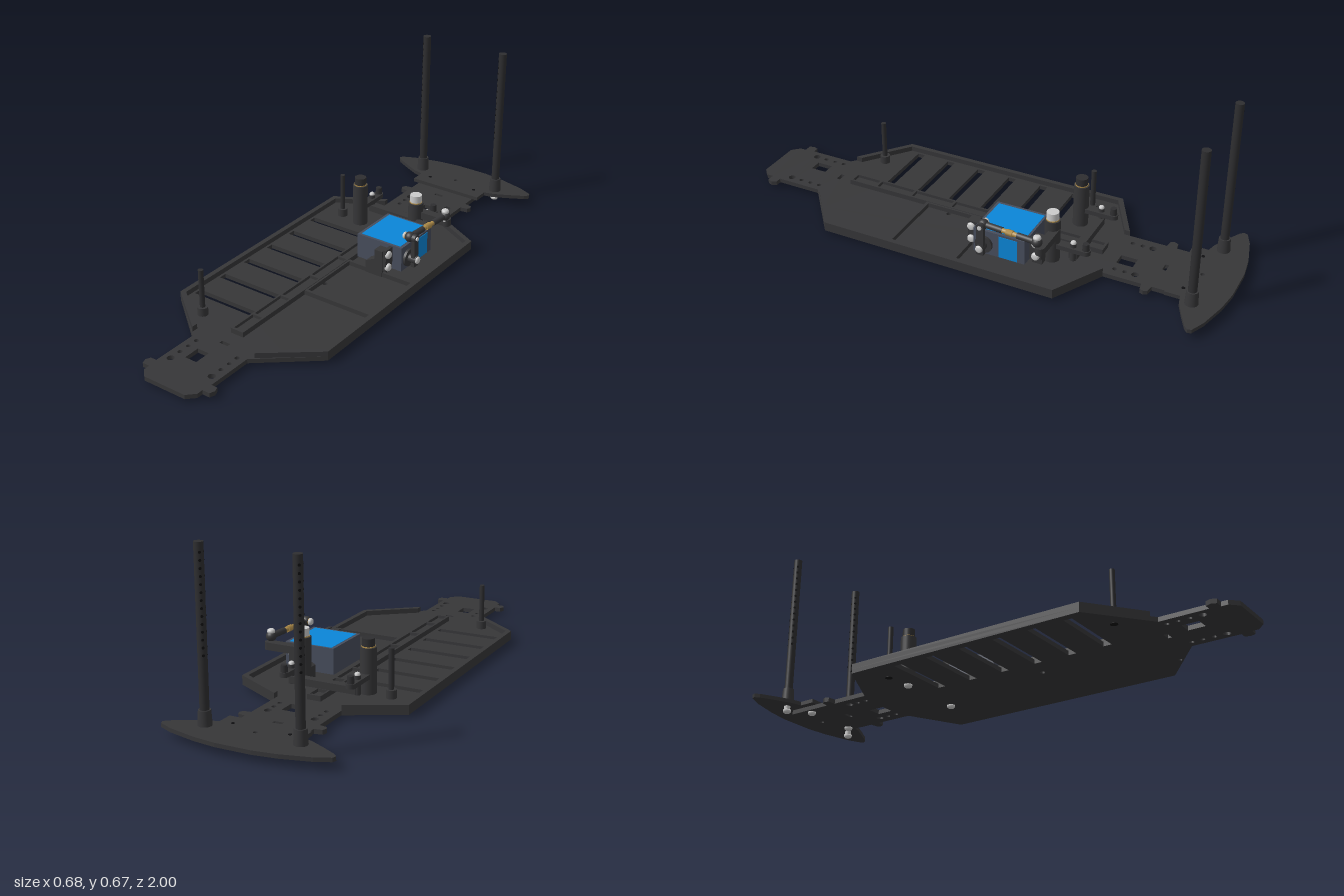
import * as THREE from 'three';

const mat = (color) => new THREE.MeshStandardMaterial({ color });
const DARK = mat(0x363638), POLE = mat(0x2e2e30), HOLE = mat(0x101012), STEEL = mat(0xc4c4c0);
const SLATE = mat(0x474d5c), BLUE = mat(0x0a86d8), BRASS = mat(0xb08d4a);
const V = (x, y, z) => new THREE.Vector3(x, y, z);
const UP = V(0, 1, 0), DOWN = V(0, -1, 0), OUT = V(1, 0, 0);

export function createModel() {
  const root = new THREE.Group();
  root.name = 'chassis';

  const add = (name, geo, material = DARK) => {
    const m = new THREE.Mesh(geo, material);
    m.name = name;
    root.add(m);
    return m;
  };
  // Box given by its min / max on each axis
  const box = (name, x0, x1, y0, y1, z0, z1, material) =>
    add(name, new THREE.BoxGeometry(x1 - x0, y1 - y0, z1 - z0), material)
      .position.set((x0 + x1) / 2, (y0 + y1) / 2, (z0 + z1) / 2);
  // Cylinder between two points
  const rod = (name, a, b, r, material = DARK, r2 = r, sides = 20) => {
    const d = b.clone().sub(a);
    const m = add(name, new THREE.CylinderGeometry(r2, r, d.length(), sides), material);
    m.position.copy(a).add(b).multiplyScalar(0.5);
    m.quaternion.setFromUnitVectors(UP, d.normalize());
  };
  const post = (name, x, z, y0, y1, r, material, r2) => rod(name, V(x, y0, z), V(x, y1, z), r, material, r2);
  const ball = (name, x, y, z, r, material = DARK) =>
    add(name, new THREE.SphereGeometry(r, 20, 14), material).position.set(x, y, z);
  // Domed screw head rising from its base along a direction
  const screwHead = (name, base, dir, r, h, material = STEEL) => {
    const profile = [[0, 0], [r, 0], [r, 0.4 * h], [0.88 * r, 0.78 * h], [0.6 * r, h], [0, h]];
    const m = add(name, new THREE.LatheGeometry(profile.map((p) => new THREE.Vector2(...p)), 20), material);
    m.position.copy(base);
    m.quaternion.setFromUnitVectors(UP, dir);
  };
  // Flat plate from an [x, z] outline with holes
  const plate = (name, pts, y0, y1, holes = []) => {
    const shape = new THREE.Shape(pts.map(([x, z]) => new THREE.Vector2(x, z)));
    shape.holes = holes;
    const g = new THREE.ExtrudeGeometry(shape, { depth: y1 - y0, bevelEnabled: false, curveSegments: 12 });
    g.rotateX(Math.PI / 2).translate(0, y1, 0);
    add(name, g);
  };
  const rectHole = (x0, x1, z0, z1) => new THREE.Path([[x0, z0], [x0, z1], [x1, z1], [x1, z0]].map((p) => new THREE.Vector2(...p)));
  const roundHole = (x, z, r) => new THREE.Path().absarc(x, z, r, 0, Math.PI * 2, true);
  // Full counter-clockwise outline from its front-to-back half
  const mirrored = (half) => [...half.map(([x, z]) => [-x, z]), ...half.slice().reverse()];

  // Main floor: nose, flared tub and rear neck with their cut-outs
  const floorHalf = [[0.09, 1], [0.12, 0.97], [0.12, 0.945], [0.15, 0.945], [0.158, 0.925], [0.15, 0.905],
    [0.125, 0.905], [0.125, 0.72], [0.34, 0.545], [0.34, -0.42], [0.135, -0.53], [0.135, -0.68],
    [0.165, -0.685], [0.172, -0.7], [0.165, -0.715], [0.135, -0.72], [0.135, -0.9], [0.1, -0.93]];
  const holes = [rectHole(0, 0.053, -0.615, -0.55), rectHole(-0.055, -0.005, 0.77, 0.835),
    rectHole(-0.018, 0.018, -0.732, -0.717), rectHole(-0.018, 0.018, 0.683, 0.698),
    roundHole(0.043, 0.16, 0.01), roundHole(0.215, 0.63, 0.007), roundHole(0, -0.865, 0.008)];
  for (let i = 0; i < 6; i++) {
    const z = -0.23 + i * 0.1425;
    holes.push(rectHole(-0.31, -0.045, z - 0.016, z + 0.016));
  }
  for (const x of [-0.093, 0.093]) {
    for (const [z, r] of [[-0.64, 0.014], [-0.6, 0.009], [-0.56, 0.009], [0.735, 0.009], [0.777, 0.008], [0.82, 0.009], [0.867, 0.014]])
      holes.push(roundHole(x, z, r));
  }
  plate('floorPlate', mirrored(floorHalf), 0.013, 0.03, holes);

  // Raised rim along both sides
  for (const s of [-1, 1]) {
    plate('sideRim', [[0.142, 0.7], [0.34, 0.545], [0.34, -0.42], [0.135, -0.53], [0.135, -0.508],
      [0.32, -0.408], [0.32, 0.535], [0.142, 0.675]].map(([x, z]) => [x * s, z]), 0.03, 0.05);
  }

  // Rear bumper wing
  plate('bumper', mirrored([[0.16, -0.775], [0.16, -0.835], [0.2, -0.845], [0.26, -0.875], [0.315, -0.905],
    [0.33, -0.92], [0.325, -0.935], [0.27, -0.96], [0.16, -0.988], [0.07, -1]]), 0.03, 0.045,
  [roundHole(0, -0.865, 0.008)]);
  for (const x of [-0.11, 0.11]) post('bumperScrewRecess', x, -0.83, 0.04, 0.046, 0.007, HOLE);

  // Centre spine: two rails with cross ribs
  box('spineFloor', -0.028, 0.028, 0.03, 0.038, -0.485, 0.625);
  for (const x of [-0.028, 0.02]) box('spineRail', x, x + 0.008, 0.03, 0.05, -0.485, 0.625);
  for (const z of [-0.485, -0.42, -0.29, -0.16, -0.02, 0.16, 0.34, 0.5, 0.615])
    box('spineRib', -0.028, 0.028, 0.03, 0.05, z, z + 0.01);

  // Ribs around the electronics bays
  for (const z of [-0.02, 0.255]) box('bayRib', 0.028, 0.33, 0.03, 0.048, z, z + 0.012);
  box('bayEdge', 0.028, 0.036, 0.03, 0.048, -0.02, 0.26);

  // Tall perforated body posts at the rear
  for (const x of [-0.183, 0.183]) {
    post('rearPost', x, -0.885, 0.03, 0.668, 0.0165, POLE);
    post('rearPostCollar', x, -0.885, 0.045, 0.1, 0.025, DARK, 0.022);
    for (let i = 0; i < 14; i++) {
      const y = 0.29 + i * 0.0265;
      for (const s of [-1, 1])
        rod('pinHole', V(x, y, -0.885), V(x - 0.0117, y, -0.885 + s * 0.0117), 0.005, HOLE, 0.005, 10);
    }
  }
  // Short body posts
  for (const [x, z] of [[-0.23, -0.335], [-0.19, 0.59]]) {
    post('shortPost', x, z, 0.03, 0.215, 0.01, POLE);
    post('shortPostFlange', x, z, 0.03, 0.062, 0.02);
    post('shortPostScrew', x, z, 0.012, 0.02, 0.014, HOLE);
  }

  // Screw heads under the floor
  for (const [x, z, y] of [[0.183, -0.885, 0.03], [0.11, -0.82, 0.014], [0.135, -0.32, 0.014]]) {
    for (const s of [-1, 1]) {
      screwHead('undersideScrew', V(x * s, 0.014, z), DOWN, 0.016, 0.013);
      post('screwShank', x * s, z, 0.013, y, 0.012, STEEL);
    }
  }

  // Steering cranks: pillars, forward arms and studs
  for (const s of [-1, 1]) {
    const x = 0.134 * s;
    post('crankPillar', x, -0.325, 0.03, 0.203, 0.03);
    post('crankWasher', x, -0.325, 0.2, 0.207, 0.025, BRASS);
    post('crankCap', x, -0.325, 0.207, 0.236, 0.0235, s < 0 ? POLE : STEEL);
    box('crankArm', x - 0.018, x + 0.018, 0.09, 0.108, -0.46, -0.33);
    post('crankArmEnd', x, -0.46, 0.09, 0.108, 0.018);
    post('linkStud', x, -0.41, 0.05, 0.122, 0.012);
    screwHead('linkStudHead', V(x, 0.118, -0.41), UP, 0.011, 0.014);
    post('crankStud', x, -0.46, 0.108, 0.135, 0.014, POLE, 0.012);
  }
  box('dragLink', -0.135, 0.135, 0.053, 0.08, -0.425, -0.392);
  box('driveArm', 0.134, 0.27, 0.138, 0.167, -0.355, -0.32);
  post('driveArmEnd', 0.27, -0.337, 0.138, 0.167, 0.018);

  // Servo with blue labels
  box('servoBody', 0.042, 0.245, 0.05, 0.15, -0.265, -0.055, SLATE);
  box('servoTopLabel', 0.054, 0.233, 0.149, 0.151, -0.257, -0.065, BLUE);
  box('servoSideLabel', 0.24, 0.247, 0.052, 0.142, -0.235, -0.16, BLUE);
  box('servoEars', 0.19, 0.204, 0.055, 0.145, -0.31, -0.01);
  // Sloped mounts with screws at both ends of the servo
  for (const z of [-0.31, -0.045]) {
    const side = new THREE.Shape([[0.115, 0.03], [0.19, 0.03], [0.19, 0.14], [0.155, 0.14], [0.155, 0.1], [0.115, 0.08]]
      .map((p) => new THREE.Vector2(...p)));
    const mount = add('servoMount', new THREE.ExtrudeGeometry(side, { depth: 0.04, bevelEnabled: false }));
    mount.position.z = z;
    for (const y of [0.07, 0.124]) screwHead('mountScrew', V(0.2, y, z + 0.02), OUT, 0.016, 0.015);
  }

  // Servo horn
  rod('servoOutput', V(0.245, 0.094, -0.1), V(0.255, 0.094, -0.1), 0.035);
  rod('hornHub', V(0.25, 0.094, -0.1), V(0.288, 0.094, -0.1), 0.017);
  box('hornArm', 0.268, 0.283, 0.065, 0.19, -0.114, -0.086);
  rod('hornArmTip', V(0.268, 0.184, -0.1), V(0.283, 0.184, -0.1), 0.016);
  screwHead('hornScrew', V(0.283, 0.094, -0.1), OUT, 0.015, 0.013);

  // Adjustable link from horn to crank
  const a = V(0.252, 0.184, -0.1), b = V(0.27, 0.184, -0.325);
  const at = (t) => a.clone().lerp(b, t);
  rod('linkEndFront', a, at(0.36), 0.012);
  rod('linkEndRear', at(0.64), b, 0.012);
  rod('linkTurnbuckle', at(0.36), at(0.64), 0.009, BRASS);
  rod('linkNut', at(0.44), at(0.56), 0.013, BRASS, 0.013, 6);
  ball('frontBallCup', 0.252, 0.184, -0.1, 0.02);
  rod('frontBallRing', V(0.235, 0.184, -0.1), V(0.242, 0.184, -0.1), 0.014, BRASS);
  rod('frontBallPin', V(0.24, 0.184, -0.1), V(0.288, 0.184, -0.1), 0.008, STEEL);
  screwHead('frontBallScrew', V(0.237, 0.184, -0.1), V(-1, 0, 0), 0.014, 0.013);
  ball('rearBallCup', 0.27, 0.184, -0.325, 0.02);
  screwHead('rearBallScrew', V(0.27, 0.198, -0.325), UP, 0.015, 0.014);
  post('rearBallPin', 0.27, -0.325, 0.16, 0.2, 0.008, STEEL);

  return root;
}
